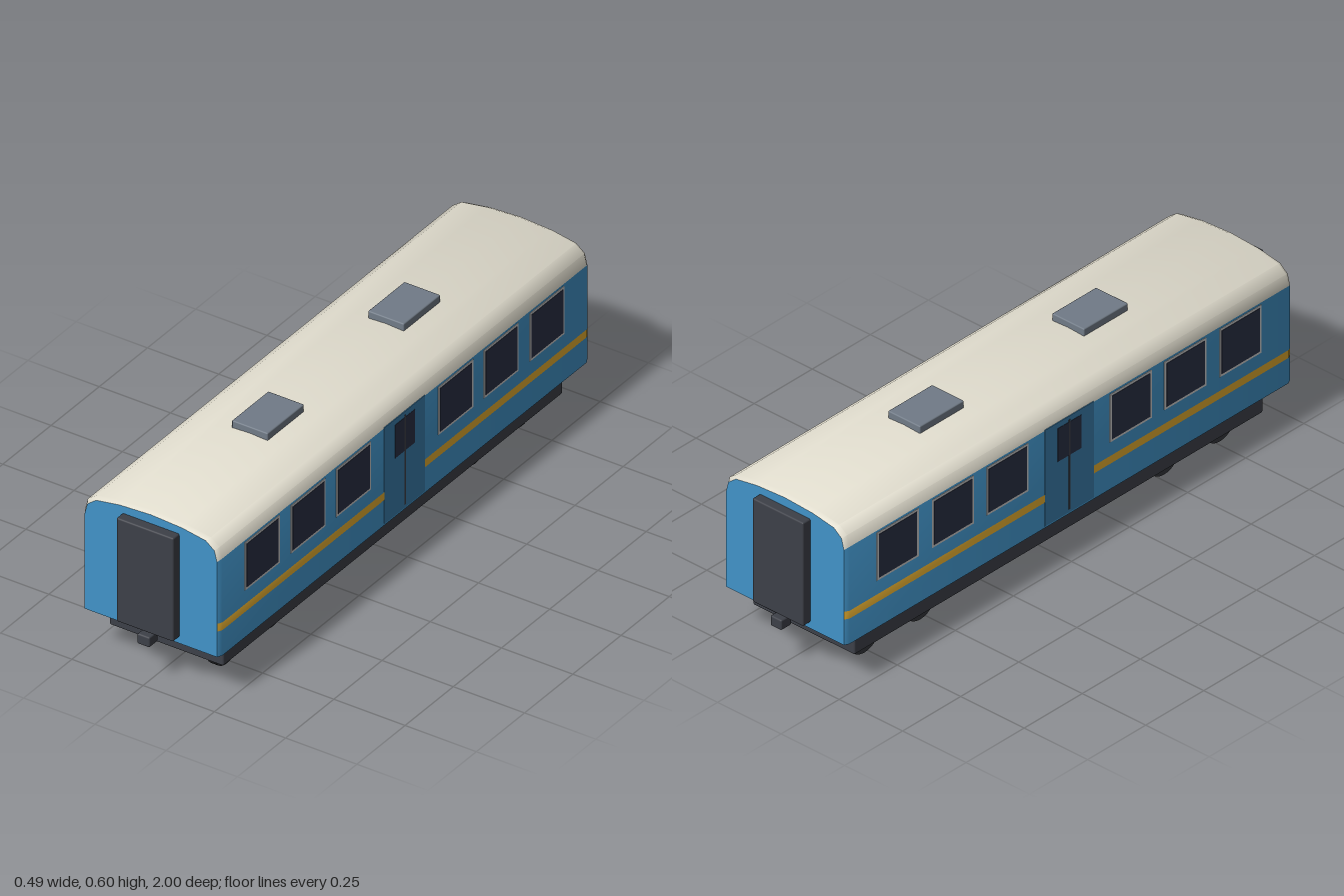
import * as THREE from 'three';
import { toCreasedNormals } from 'three/addons/utils/BufferGeometryUtils.js';
import { RoundedBoxGeometry } from 'three/addons/geometries/RoundedBoxGeometry.js';

const paint = (color) => new THREE.MeshStandardMaterial({ color, side: THREE.DoubleSide });
const BLUE = paint(0x4193c8), DOOR = paint(0x3a7dab), CREAM = paint(0xe2decf), YELLOW = paint(0xe8b030);
const GLASS = paint(0x2a3045), FRAME = paint(0xd8dad8), DARK = paint(0x3d4048), VENT = paint(0x717b87), WHEEL = paint(0x35373b);

const END = 0.96, BEVEL = 0.945; // the body narrows slightly between these z values

// Strip surface through cross-sections; profiles run from +x over the top to -x, z ascending
function loft(sections) {
  const n = sections[0].pts.length, pos = [], idx = [];
  for (const { z, pts } of sections) for (const [x, y] of pts) pos.push(x, y, z);
  for (let i = 0; i < sections.length - 1; i++)
    for (let j = 0; j < n - 1; j++) {
      const a = i * n + j, c = a + n;
      idx.push(a, a + 1, c, a + 1, c + 1, c);
    }
  const g = new THREE.BufferGeometry();
  g.setAttribute('position', new THREE.Float32BufferAttribute(pos, 3));
  g.setIndex(idx);
  return toCreasedNormals(g, 0.7);
}

// Right half mirrored into a full profile
const mirrored = (half) => [...half, ...half.filter(([x]) => x > 0).reverse().map(([x, y]) => [-x, y])];
const bevelled = (full, inset) => [
  { z: -END, pts: inset }, { z: -BEVEL, pts: full }, { z: BEVEL, pts: full }, { z: END, pts: inset },
];

export function createModel() {
  const model = new THREE.Group();
  const add = (name, geo, mat, x = 0, y = 0, z = 0, parent = model) => {
    const m = new THREE.Mesh(geo, mat);
    m.name = name;
    m.position.set(x, y, z);
    parent.add(m);
    return m;
  };
  const box = (w, h, d) => new THREE.BoxGeometry(w, h, d);
  const rounded = (w, h, d, r) => new RoundedBoxGeometry(w, h, d, 2, r);

  // Arched roof
  const roofFull = mirrored([[0.24, 0.497], [0.231, 0.534], [0.2, 0.557], [0.11, 0.572], [0, 0.578]]);
  const roofInset = mirrored([[0.232, 0.49], [0.223, 0.526], [0.193, 0.55], [0.11, 0.564], [0, 0.57]]);
  add('roof', loft(bevelled(roofFull, roofInset)), CREAM);

  // End walls
  const outline = [[0.232, 0.161], ...roofInset, [-0.232, 0.161]].map(([x, y]) => new THREE.Vector2(x, y));
  const endGeo = new THREE.ShapeGeometry(new THREE.Shape(outline));
  add('frontWall', endGeo, BLUE, 0, 0, END);
  add('backWall', endGeo, BLUE, 0, 0, -END).rotation.y = Math.PI;

  // Floor and underframe
  add('floor', box(0.464, 0.008, 1.91), DARK, 0, 0.166, 0);
  add('underframe', rounded(0.4, 0.09, 1.76, 0.006), DARK, 0, 0.119, 0);

  for (const s of [1, -1]) {
    const side = new THREE.Group();
    side.name = s > 0 ? 'leftSide' : 'rightSide';
    model.add(side);
    // Upright strip on this side, ordered so that it faces outward
    const strip = (x, y0, y1) => (s > 0 ? [[x, y0], [x, y1]] : [[-x, y1], [-x, y0]]);

    add('sideWall', loft(bevelled(strip(0.24, 0.161, 0.497), strip(0.232, 0.161, 0.49))), BLUE, 0, 0, 0, side);

    // Stripe, broken at the door
    const outer = strip(0.2412, 0.25, 0.277), inner = strip(0.2332, 0.25, 0.277);
    add('stripe', loft([{ z: 0.1, pts: outer }, { z: BEVEL, pts: outer }, { z: END, pts: inner }]), YELLOW, 0, 0, 0, side);
    add('stripe', loft([{ z: -END, pts: inner }, { z: -BEVEL, pts: outer }, { z: -0.1, pts: outer }]), YELLOW, 0, 0, 0, side);

    // Framed windows
    for (const z of [0.738, 0.5, 0.265, -0.265, -0.5, -0.738]) {
      add('windowFrame', box(0.006, 0.166, 0.18), FRAME, s * 0.2385, 0.407, z, side);
      add('windowGlass', box(0.006, 0.15, 0.164), GLASS, s * 0.2398, 0.407, z, side);
    }

    // Double door
    add('door', box(0.006, 0.332, 0.21), DOOR, s * 0.2388, 0.334, 0, side);
    add('doorWindow', box(0.006, 0.115, 0.102), GLASS, s * 0.2398, 0.423, 0, side);
    add('doorSeam', box(0.006, 0.31, 0.006), DARK, s * 0.2402, 0.333, 0, side);
  }

  // Gangways, couplers, roof vents and bogies at both ends
  for (const s of [1, -1]) {
    add('gangway', rounded(0.2, 0.358, 0.036, 0.005), DARK, 0, 0.361, s * 0.974);
    add('coupler', rounded(0.044, 0.035, 0.045, 0.005), DARK, 0, 0.155, s * 0.9775);
    add('roofVent', rounded(0.126, 0.04, 0.19, 0.004), VENT, 0, 0.579, s * 0.353);

    const bogie = new THREE.Group();
    bogie.name = 'bogie';
    bogie.position.z = s * 0.645;
    model.add(bogie);
    add('bogieFrame', rounded(0.336, 0.03, 0.41, 0.008), DARK, 0, 0.076, 0, bogie);
    for (const z of [0.12, -0.12]) {
      add('axle', new THREE.CylinderGeometry(0.02, 0.02, 0.284, 16), DARK, 0, 0.07, z, bogie).rotation.z = Math.PI / 2;
      for (const x of [0.1215, -0.1215])
        add('wheel', new THREE.CylinderGeometry(0.07, 0.07, 0.027, 28), WHEEL, x, 0.07, z, bogie).rotation.z = Math.PI / 2;
    }
  }
  return model;
}
